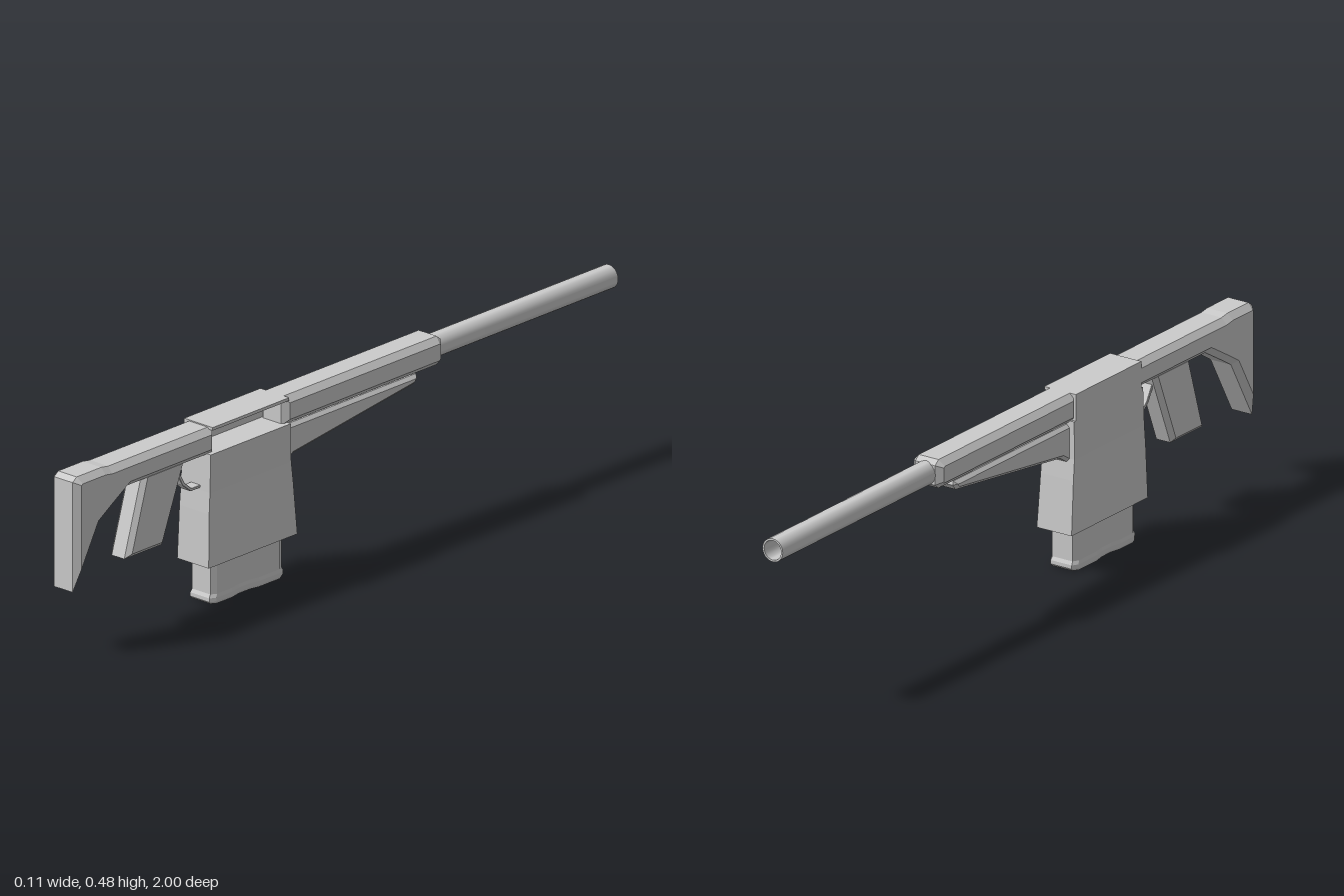
import * as THREE from 'three';
import { toCreasedNormals } from 'three/addons/utils/BufferGeometryUtils.js';

const grey = new THREE.MeshStandardMaterial({ color: 0xcccccc, flatShading: true });
const smooth = new THREE.MeshStandardMaterial({ color: 0xcccccc, side: THREE.DoubleSide });

// Skin a stack of matching outlines [{ pts: [[u, v]...], w }] and cap both ends.
function loft(rings, map) {
  const area = THREE.ShapeUtils.area(rings[0].pts.map(([x, y]) => ({ x, y })));
  if (area < 0) rings = rings.map((r) => ({ w: r.w, pts: [...r.pts].reverse() }));
  const n = rings[0].pts.length, pos = [];
  const push = (...corners) => corners.forEach(([r, i]) => {
    const [u, v] = rings[r].pts[i];
    pos.push(...map(u, v, rings[r].w));
  });
  for (let r = 0; r < rings.length - 1; r++) {
    for (let i = 0; i < n; i++) {
      const j = (i + 1) % n;
      push([r, i], [r, j], [r + 1, j]);
      push([r, i], [r + 1, j], [r + 1, i]);
    }
  }
  const last = rings.length - 1;
  const cap = (r) => THREE.ShapeUtils.triangulateShape(
    rings[r].pts.map(([x, y]) => new THREE.Vector2(x, y)), []);
  cap(0).forEach(([a, b, c]) => push([0, c], [0, b], [0, a]));
  cap(last).forEach(([a, b, c]) => push([last, a], [last, b], [last, c]));
  const geo = new THREE.BufferGeometry();
  geo.setAttribute('position', new THREE.Float32BufferAttribute(pos, 3));
  geo.computeVertexNormals();
  return geo;
}

// Move an outline inward by b with full mitres.
function inset(pts, b) {
  const n = pts.length;
  const s = Math.sign(THREE.ShapeUtils.area(pts.map(([x, y]) => ({ x, y }))));
  const normal = (p, q) => {
    const dx = q[0] - p[0], dy = q[1] - p[1], l = Math.hypot(dx, dy);
    return [-s * dy / l, s * dx / l];
  };
  return pts.map((p, i) => {
    const a = normal(pts[(i + n - 1) % n], p), c = normal(p, pts[(i + 1) % n]);
    const k = b / (1 + a[0] * c[0] + a[1] * c[1]);
    return [p[0] + k * (a[0] + c[0]), p[1] + k * (a[1] + c[1])];
  });
}

// Side outline in (z, y), given a half width and chamfered rims.
function sidePlate(pts, half, bevel) {
  const inner = inset(pts, bevel);
  return loft([
    { pts: inner, w: -half }, { pts, w: -half + bevel },
    { pts, w: half - bevel }, { pts: inner, w: half },
  ], (u, v, w) => [-w, v, u]);
}

// Plan outlines in (z, x) stacked up y.
const stack = (rings) => loft(rings, (u, v, w) => [v, w, u]);
const rect = (z0, z1, hx) => [[z0, -hx], [z1, -hx], [z1, hx], [z0, hx]];

export function createModel() {
  const model = new THREE.Group();
  const add = (name, geo, mat = grey) => {
    const mesh = new THREE.Mesh(geo, mat);
    mesh.name = name;
    model.add(mesh);
    return mesh;
  };
  const addBox = (name, x0, x1, y0, y1, z0, z1) =>
    add(name, new THREE.BoxGeometry(x1 - x0, y1 - y0, z1 - z0))
      .position.set((x0 + x1) / 2, (y0 + y1) / 2, (z0 + z1) / 2);

  // Shoulder stock with hooked butt
  add('stock', sidePlate([
    [0.49, 0.473], [0.87, 0.473], [0.895, 0.477], [0.985, 0.477], [1, 0.466],
    [1, 0.174], [0.91, 0.335], [0.87, 0.36], [0.80, 0.402], [0.49, 0.402],
  ], 0.047, 0.016));

  // Handguard and the wedge beneath it
  add('handguard', sidePlate([
    [0.235, 0.476], [-0.335, 0.476], [-0.35, 0.464], [-0.35, 0.412], [-0.335, 0.4], [0.235, 0.4],
  ], 0.046, 0.016));
  add('lowerWedge', sidePlate([
    [0.24, 0.395], [-0.265, 0.395], [-0.268, 0.385], [-0.255, 0.37], [0.19, 0.312], [0.24, 0.28],
  ], 0.034, 0.009));

  // Receiver body flaring into the magazine well
  add('receiver', stack([
    { pts: rect(0.2, 0.525, 0.053), w: 0.108 },
    { pts: rect(0.212, 0.52, 0.05), w: 0.25 },
    { pts: rect(0.218, 0.516, 0.049), w: 0.305 },
    { pts: rect(0.218, 0.512, 0.048), w: 0.405 },
  ]));

  // Receiver top with the port open on the left side
  addBox('receiverTop', -0.048, 0.048, 0.468, 0.476, 0.225, 0.505);
  addBox('receiverWall', -0.048, -0.036, 0.4, 0.47, 0.225, 0.505);

  // Magazine: chamfered, waisted plan with a flared foot
  const magazine = (g) => {
    const half = [[0.235, 0.031], [0.25, 0.04], [0.325, 0.04], [0.355, 0.034],
      [0.395, 0.034], [0.425, 0.04], [0.48, 0.04], [0.495, 0.031]];
    const side = half.map(([z, x]) => [0.365 + (z - 0.365) * (1 + g), x * (1 + g)]);
    return [...side, ...side.map(([z, x]) => [z, -x]).reverse()];
  };
  add('magazine', stack([
    { pts: magazine(0), w: 0 }, { pts: magazine(0.04), w: 0.006 },
    { pts: magazine(0.04), w: 0.016 }, { pts: magazine(0), w: 0.025 },
    { pts: magazine(0), w: 0.12 },
  ]));

  // Raked grip and trigger guard strip
  add('grip', sidePlate([[0.735, 0.415], [0.58, 0.415], [0.665, 0.203], [0.8, 0.203]], 0.033, 0.012));
  add('triggerGuard', sidePlate([
    [0.605, 0.38], [0.58, 0.335], [0.55, 0.311], [0.51, 0.311],
    [0.51, 0.318], [0.547, 0.318], [0.573, 0.34], [0.597, 0.382],
  ], 0.016, 0.001));

  // Hollow barrel
  const profile = [[0.031, 0.3], [0.031, 1], [0.026, 1], [0.026, 0.4], [0, 0.4]]
    .map(([r, y]) => new THREE.Vector2(r, y));
  const barrel = add('barrel', toCreasedNormals(new THREE.LatheGeometry(profile, 24), 0.6), smooth);
  barrel.rotation.x = -Math.PI / 2;
  barrel.position.y = 0.438;

  return model;
}
